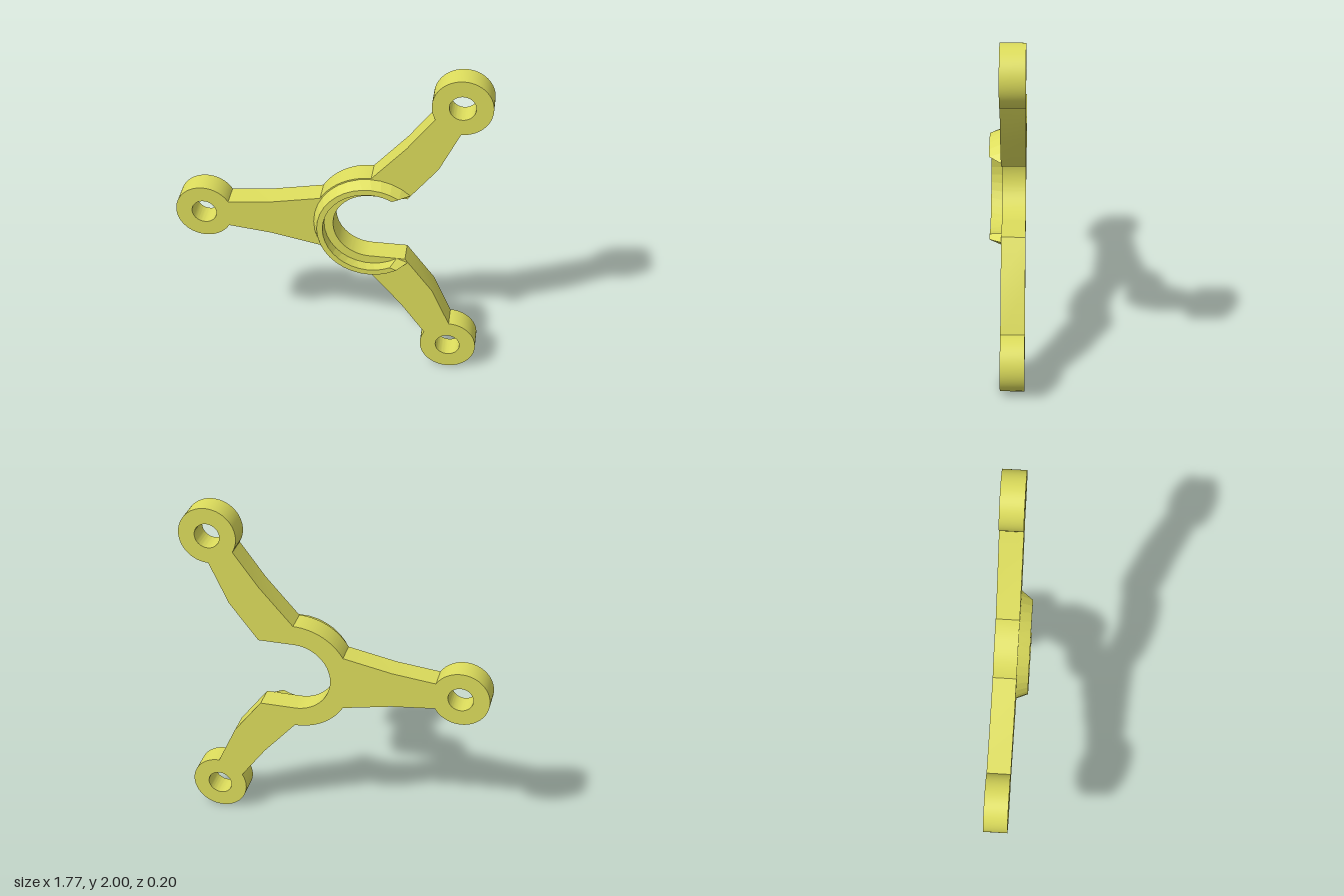
import * as THREE from 'three';
import { toCreasedNormals } from 'three/addons/utils/BufferGeometryUtils.js';

const rad = THREE.MathUtils.degToRad;
const HUB = [0.24, 1];
const LUGS = [[0.72, 1.835], [-0.723, 1], [0.72, 0.165]];
const LUG_R = 0.165, HOLE_R = 0.072, HUB_R = 0.332, BORE_R = 0.213;
const BACK = -0.1, FACE = 0.034, TOP = 0.1;

// Flat three-armed plate with lug holes and an open bore
function plateGeometry() {
  const s = new THREE.Shape();
  const arc = ([x, y], r, a, b, cw = false) => s.absarc(x, y, r, rad(a), rad(b), cw);
  s.moveTo(0.445, 1.213);
  s.lineTo(0.61, 1.43);
  arc(LUGS[0], LUG_R, -90, 210);
  s.lineTo(0.43, 1.55);
  arc(HUB, HUB_R, 90, 150);
  s.lineTo(-0.33, 1.11);
  arc(LUGS[1], LUG_R, 30, 330);
  s.lineTo(-0.33, 0.89);
  arc(HUB, HUB_R, 210, 270);
  s.lineTo(0.43, 0.45);
  arc(LUGS[2], LUG_R, 150, 450);
  s.lineTo(0.61, 0.57);
  s.lineTo(0.445, 0.787);
  arc(HUB, BORE_R, 270, 90, true);
  s.closePath();
  for (const [x, y] of LUGS) {
    s.holes.push(new THREE.Path().absarc(x, y, HOLE_R, 0, Math.PI * 2, true));
  }
  const g = new THREE.ExtrudeGeometry(s, { depth: FACE - BACK, bevelEnabled: false, curveSegments: 32 });
  g.translate(0, 0, BACK);
  return toCreasedNormals(g, rad(20));
}

// Raised C-shaped collar: a tapered section swept round the hub, with sloping ends
function collarGeometry() {
  // radius, z, angle at which this edge stops
  const section = [[0.325, FACE, 47], [0.298, TOP, 57], [0.265, TOP, 62], [0.265, FACE, 53.5]];
  const steps = 24, n = section.length;
  const pos = [], idx = [];
  for (let i = 0; i <= steps; i++) {
    for (const [r, z, end] of section) {
      const a = rad(end + (360 - 2 * end) * i / steps);
      pos.push(HUB[0] + r * Math.cos(a), HUB[1] + r * Math.sin(a), z);
    }
  }
  for (let i = 0; i < steps; i++) {
    for (let j = 0; j < n; j++) {
      const a = i * n + j, b = i * n + (j + 1) % n;
      idx.push(a, a + n, b, b, a + n, b + n);
    }
  }
  const e = steps * n;
  idx.push(0, 1, 2, 0, 2, 3, e, e + 2, e + 1, e, e + 3, e + 2);
  const g = new THREE.BufferGeometry();
  g.setAttribute('position', new THREE.Float32BufferAttribute(pos, 3));
  g.setIndex(idx);
  return toCreasedNormals(g, rad(5));
}

export function createModel() {
  const material = new THREE.MeshStandardMaterial({ color: 0xdddd5c });
  const model = new THREE.Group();
  model.name = 'threeArmBracket';
  const add = (name, geometry) => {
    const mesh = new THREE.Mesh(geometry, material);
    mesh.name = name;
    model.add(mesh);
  };
  add('armPlate', plateGeometry());
  add('collar', collarGeometry());
  return model;
}
